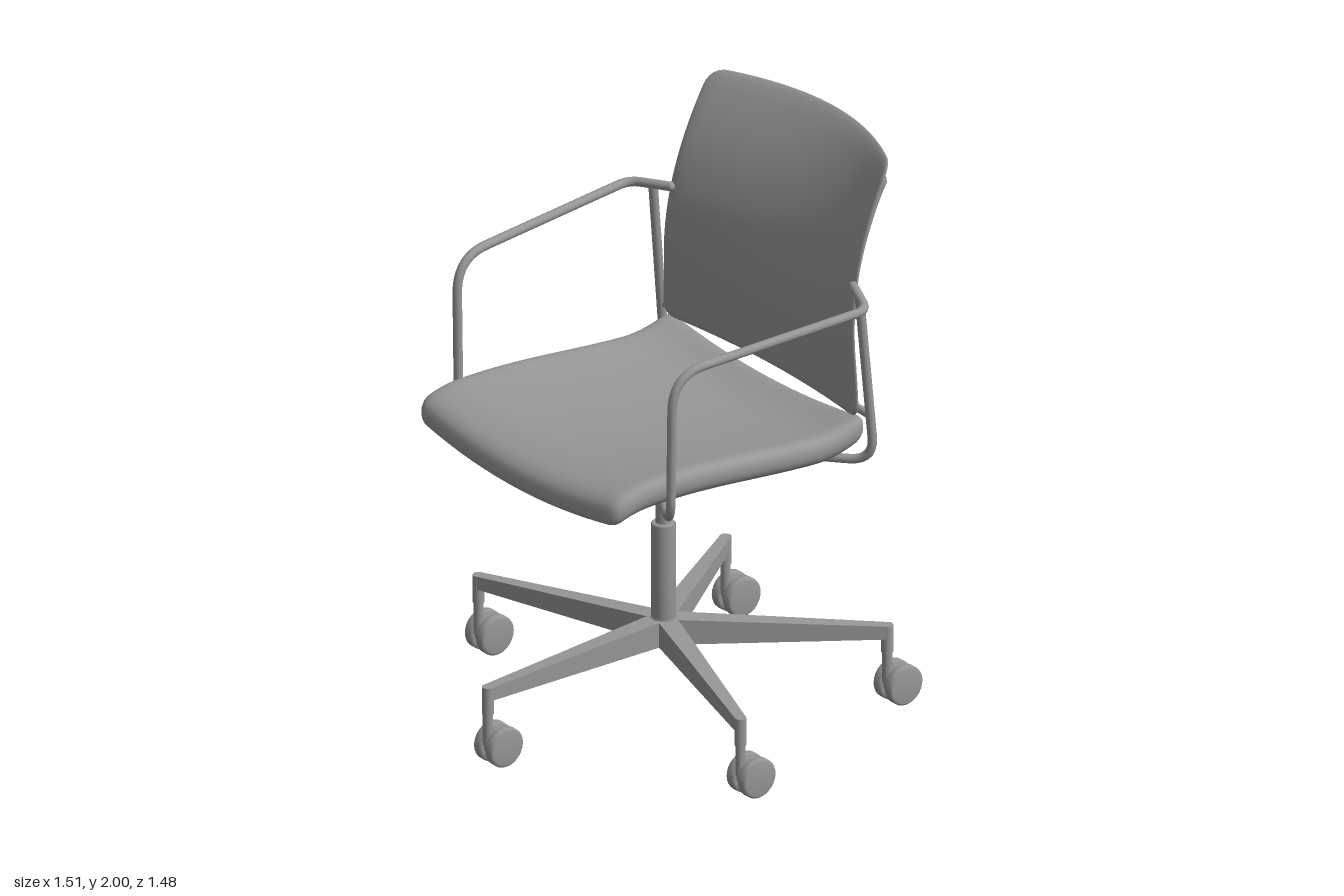
import * as THREE from 'three';
import { mergeVertices } from 'three/addons/utils/BufferGeometryUtils.js';

const grey = new THREE.MeshStandardMaterial({ color: 0x979797 });
const V = (x, y, z) => new THREE.Vector3(x, y, z);

function mesh(name, geometry, parent, x = 0, y = 0, z = 0) {
  const m = new THREE.Mesh(geometry, grey);
  m.name = name;
  m.position.set(x, y, z);
  parent.add(m);
  return m;
}

// Rounded slab whose vertices are then moved by a rule
function pad(w, h, d, r, segs, rule) {
  let g = new THREE.BoxGeometry(w, h, d, ...segs);
  g.deleteAttribute('normal');
  g.deleteAttribute('uv');
  g = mergeVertices(g, 1e-5);
  const lim = V(w / 2 - r, h / 2 - r, d / 2 - r), low = lim.clone().negate();
  const p = g.attributes.position, v = V(0, 0, 0), inner = V(0, 0, 0);
  for (let i = 0; i < p.count; i++) {
    v.fromBufferAttribute(p, i);
    inner.copy(v).clamp(low, lim);
    v.sub(inner).setLength(r).add(inner);
    rule(v);
    p.setXYZ(i, v.x, v.y, v.z);
  }
  g.computeVertexNormals();
  return g;
}

// Bent tube: straight runs with one rounded corner per bend length
function bentTube(name, pts, radius, bends, parent) {
  const path = new THREE.CurvePath();
  let from = pts[0];
  bends.forEach((bend, i) => {
    const c = pts[i + 1];
    const a = c.clone().add(pts[i].clone().sub(c).setLength(bend));
    const b = c.clone().add(pts[i + 2].clone().sub(c).setLength(bend));
    path.add(new THREE.LineCurve3(from, a));
    path.add(new THREE.QuadraticBezierCurve3(a, c, b));
    from = b;
  });
  path.add(new THREE.LineCurve3(from, pts[pts.length - 1]));
  const group = new THREE.Group();
  group.name = name;
  parent.add(group);
  mesh(name + 'Tube', new THREE.TubeGeometry(path, pts.length * 24, radius, 12), group);
  for (const e of [pts[0], pts[pts.length - 1]])
    mesh(name + 'End', new THREE.SphereGeometry(radius, 12, 8), group, e.x, e.y, e.z);
}

// Front surface of the backrest: leans back at the top, wraps forward at the sides
function backZ(x, y) {
  const k = (y - 1.16) / 0.84, lean = Math.max(0, y - 1.35);
  return -0.457 - 0.62 * lean * lean + (0.04 + 0.095 * k * k) * (x / 0.5) ** 2;
}

function addSeat(parent) {
  const g = pad(1.07, 0.1, 1.085, 0.045, [48, 6, 48], (v) => {
    const s = (v.x / 0.535) ** 2, z = v.z + 0.078;
    const rear = Math.max(0, -z - 0.25) / 0.2, front = Math.max(0, z - 0.45) / 0.17;
    const top = 1.132 + 0.025 * Math.sin(4 * z) + 0.04 * rear * rear - 0.03 * front * front;
    v.y += top - 0.05 - 0.045 * (1 - s);
    v.z = z - 0.02 * s * Math.max(0, z / 0.62);
  });
  mesh('seat', g, parent);
}

function addBackrest(parent) {
  const g = pad(1, 0.87, 0.1, 0.05, [46, 40, 6], (v) => {
    const y = v.y + 1.565, k = v.y / 0.87 + 0.5;
    v.z = backZ(v.x, y) - 0.012 + v.z * 0.24;
    v.x *= 1.05 - 0.09 * k;
    v.y = y;
  });
  mesh('backrest', g, parent);

  // Thin wire outline on the rear, with a sagging top edge
  const outline = [], n = 16;
  for (let i = 0; i < n; i++) {
    const x = -0.44 + (0.88 * i) / n;
    outline.push([x, 1.8 + 0.13 * (x / 0.44) ** 2]);
  }
  for (let i = 0; i < n; i++) outline.push([0.44 + 0.02 * i / n, 1.93 - (0.72 * i) / n]);
  for (let i = 0; i < n; i++) outline.push([0.46 - (0.92 * i) / n, 1.21]);
  for (let i = 0; i < n; i++) outline.push([-0.46 + 0.02 * i / n, 1.21 + (0.72 * i) / n]);
  const curve = new THREE.CatmullRomCurve3(
    outline.map(([x, y]) => V(x, y, backZ(x, y) - 0.031)), true, 'centripetal');
  mesh('backWire', new THREE.TubeGeometry(curve, 200, 0.011, 8, true), parent);

  // Bowed bar behind the lower edge, between the two uprights
  const bar = new THREE.CatmullRomCurve3([
    V(-0.56, 1.15, -0.455), V(-0.3, 1.14, -0.48), V(0, 1.135, -0.492), V(0.3, 1.14, -0.48), V(0.56, 1.15, -0.455)]);
  mesh('backCrossbar', new THREE.TubeGeometry(bar, 40, 0.014, 10), parent);
}

function addFrame(parent) {
  // Tubular arm, under-seat strut and upright in one run per side
  for (const s of [1, -1]) {
    bentTube(s > 0 ? 'leftArmFrame' : 'rightArmFrame', [
      V(0.49 * s, 1.605, -0.435), V(0.64 * s, 1.59, -0.375), V(0.58 * s, 1.55, 0.395),
      V(0.57 * s, 1.005, 0.395), V(0.1 * s, 0.96, 0.12), V(0.1 * s, 0.955, -0.14),
      V(0.565 * s, 0.985, -0.465), V(0.555 * s, 1.595, -0.41)],
    0.016, [0.045, 0.13, 0.1, 0.08, 0.08, 0.09], parent);
  }
  // Square ring of tube carrying the seat
  bentTube('seatSupportRing', [
    V(0, 0.982, 0.3), V(0.3, 0.982, 0.3), V(0.3, 0.957, -0.3),
    V(-0.3, 0.957, -0.3), V(-0.3, 0.982, 0.3), V(0, 0.982, 0.3)],
  0.014, [0.03, 0.03, 0.03, 0.03], parent);
}

function addMechanism(parent) {
  const z = -0.02;
  mesh('mechanismBox', new THREE.BoxGeometry(0.2, 0.07, 0.2), parent, 0, 0.94, z);
  mesh('mechanismCone', new THREE.CylinderGeometry(0.07, 0.047, 0.095, 32), parent, 0, 0.857, z);
  mesh('gasPiston', new THREE.CylinderGeometry(0.027, 0.027, 0.16, 24), parent, 0, 0.74, z);
  const sleeve = [[0, 0.25], [0.042, 0.25], [0.042, 0.675], [0.036, 0.682], [0, 0.682]];
  mesh('columnSleeve', new THREE.LatheGeometry(sleeve.map(([r, y]) => new THREE.Vector2(r, y)), 32), parent, 0, 0, z);

  // Height lever with a thicker grip, on the model's right
  bentTube('heightLever', [V(-0.08, 0.915, 0.05), V(-0.12, 0.913, 0.228), V(-0.45, 0.85, 0.228)], 0.009, [0.03], parent);
  const grip = mesh('leverGrip', new THREE.CapsuleGeometry(0.015, 0.055, 6, 14), parent, -0.437, 0.852, 0.228);
  grip.rotation.z = Math.PI / 2 + 0.18;
}

function makeCaster() {
  const g = new THREE.Group();
  g.name = 'caster';
  const rim = [[0, -0.021], [0.06, -0.021], [0.07, -0.012], [0.07, 0.012], [0.06, 0.021], [0, 0.021]];
  for (const s of [1, -1]) {
    const wheel = mesh('wheel', new THREE.LatheGeometry(rim.map(([r, y]) => new THREE.Vector2(r, y)), 28), g, 0.03 * s, 0.07, -0.045);
    wheel.rotation.z = Math.PI / 2;
  }
  const core = mesh('wheelHub', new THREE.CylinderGeometry(0.055, 0.055, 0.03, 24), g, 0, 0.075, -0.045);
  core.rotation.z = Math.PI / 2;
  mesh('casterStem', new THREE.CylinderGeometry(0.017, 0.017, 0.12, 16), g, 0, 0.14, 0);
  mesh('casterPost', new THREE.CylinderGeometry(0.02, 0.02, 0.1, 20), g, 0, 0.242, 0);
  return g;
}

function addBase(parent) {
  const base = new THREE.Group();
  base.name = 'starBase';
  base.position.z = -0.022;
  parent.add(base);

  // Leg tapers in width and height towards its tip
  const leg = new THREE.BoxGeometry(1, 1, 0.74);
  const p = leg.attributes.position;
  for (let i = 0; i < p.count; i++) {
    const tip = p.getZ(i) > 0;
    p.setX(i, p.getX(i) * (tip ? 0.038 : 0.07));
    p.setY(i, p.getY(i) < 0 ? 0.245 : tip ? 0.292 : 0.338);
    p.setZ(i, p.getZ(i) + 0.37);
  }
  leg.computeVertexNormals();
  for (let i = 0; i < 5; i++) {
    const a = (i * Math.PI * 2) / 5;
    mesh('baseLeg', leg, base).rotation.y = a;
    const caster = makeCaster();
    caster.position.set(0.74 * Math.sin(a), 0, 0.74 * Math.cos(a));
    base.add(caster);
  }
  mesh('baseHub', new THREE.CylinderGeometry(0.046, 0.046, 0.094, 32), base, 0, 0.292, 0);
}

export function createModel() {
  const chair = new THREE.Group();
  chair.name = 'officeChair';
  addSeat(chair);
  addBackrest(chair);
  addFrame(chair);
  addMechanism(chair);
  addBase(chair);
  return chair;
}
